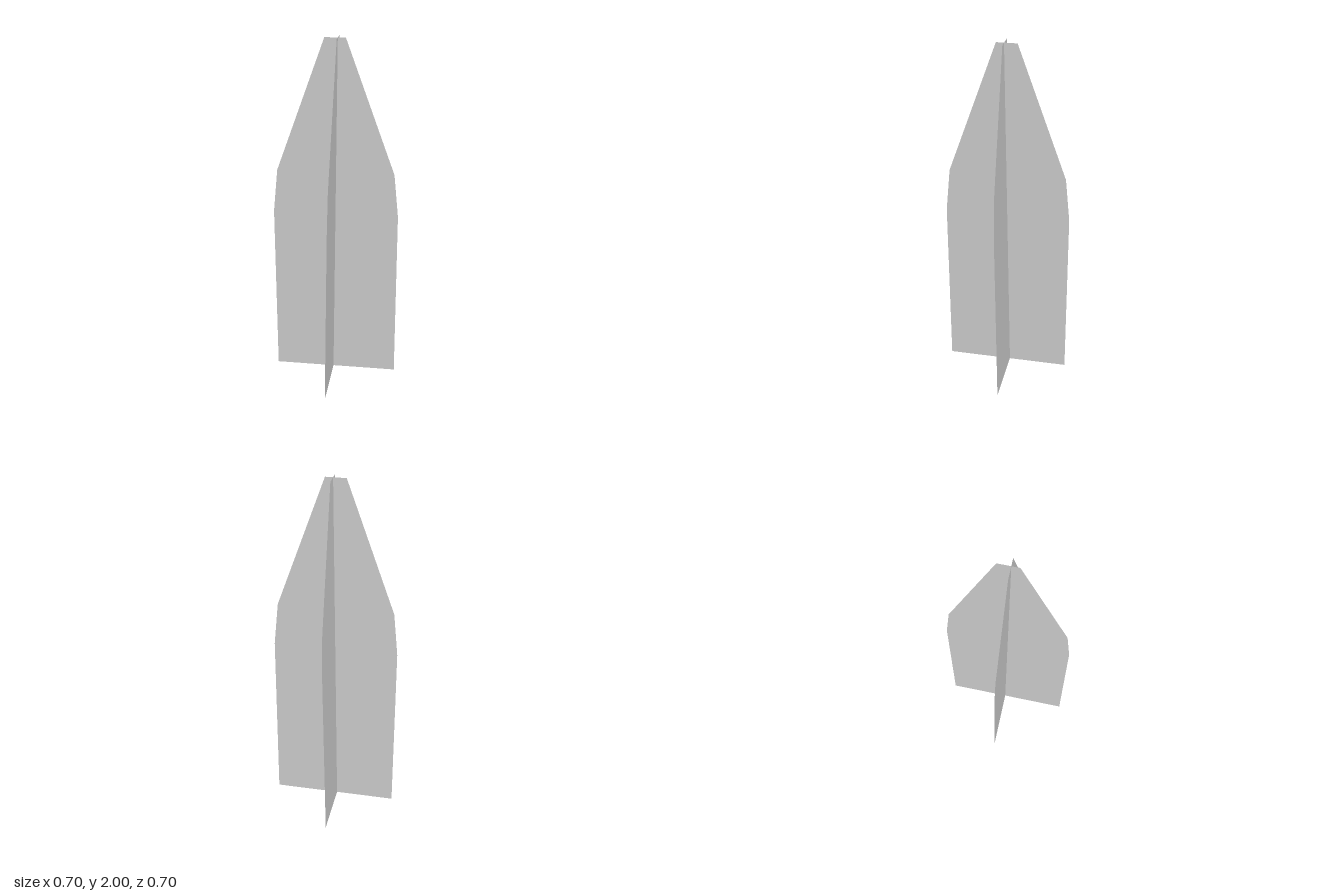
import * as THREE from 'three';

// Half outline of a blade: [half width, height]
const PROFILE = [[0.352, 0], [0.352, 1], [0.327, 1.25], [0.057, 2]];
const LEAN = 0.014; // sideways offset at the top, opposite at the base

// Flat pointed blade in the xy plane, leaning slightly towards +z
function bladeGeometry() {
  const right = PROFILE.map(([x, y]) => new THREE.Vector2(x, y));
  const left = PROFILE.map(([x, y]) => new THREE.Vector2(-x, y)).reverse();
  const geometry = new THREE.ShapeGeometry(new THREE.Shape([...right, ...left]));
  const p = geometry.attributes.position;
  for (let i = 0; i < p.count; i++) p.setZ(i, LEAN * (p.getY(i) - 1));
  geometry.computeVertexNormals();
  return geometry;
}

export function createModel() {
  const group = new THREE.Group();
  group.name = 'crossedBlades';
  const material = new THREE.MeshStandardMaterial({ color: 0xcccccc, side: THREE.DoubleSide });

  // Two identical blades crossing at a right angle
  ['frontBlade', 'sideBlade'].forEach((name, i) => {
    const blade = new THREE.Mesh(bladeGeometry(), material);
    blade.name = name;
    blade.rotation.y = i * Math.PI / 2;
    group.add(blade);
  });
  return group;
}
